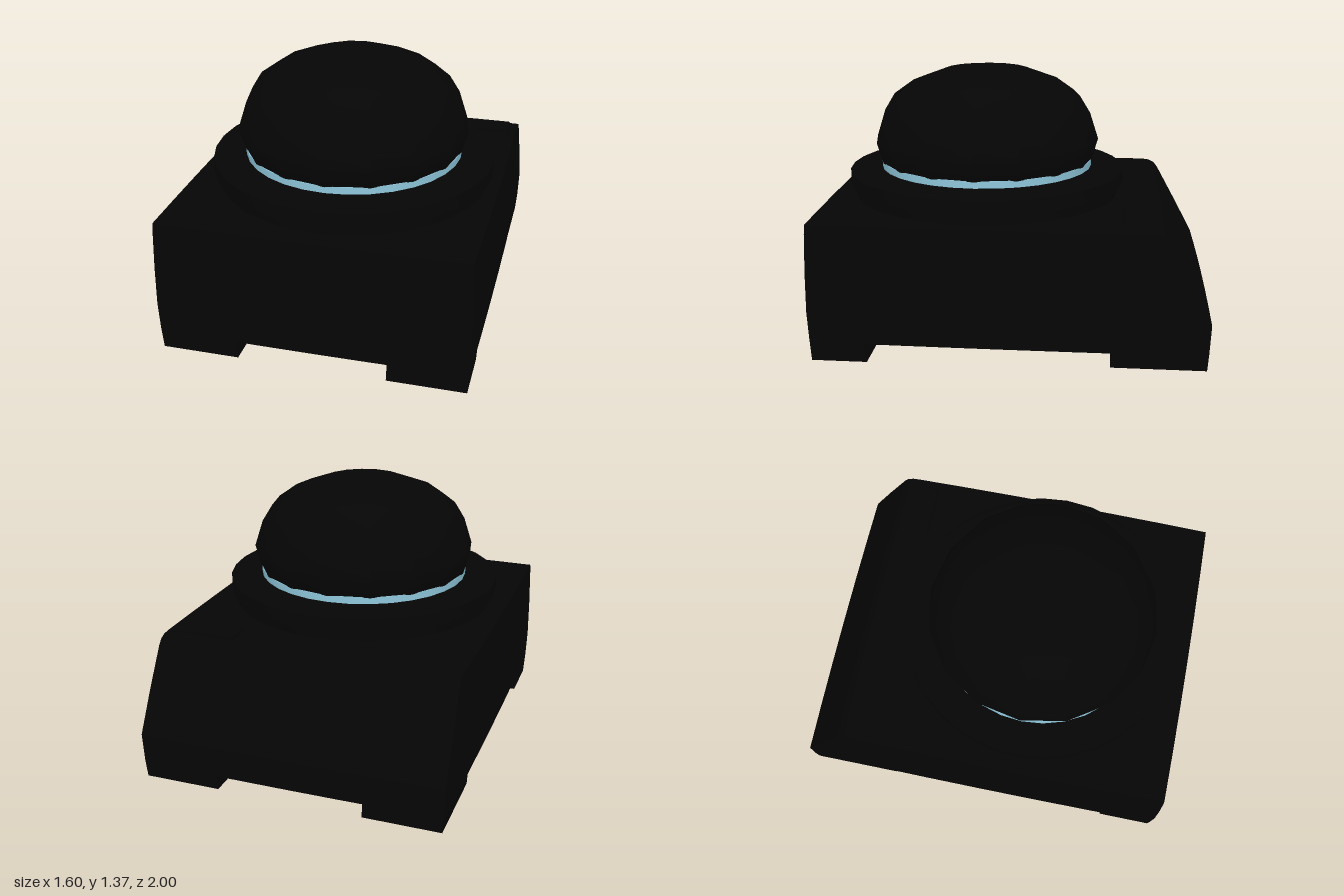
import * as THREE from 'three';
import { toCreasedNormals } from 'three/addons/utils/BufferGeometryUtils.js';

const black = new THREE.MeshStandardMaterial({ color: 0x050505 });
const blue = new THREE.MeshStandardMaterial({ color: 0x8fc8dc });

// Box whose horizontal slices follow rows of [y, x0, x1, z0, z1]; sides swell outwards by bulge
function slicedBlock(rows, bulge = 0, div = 1) {
  const last = rows.length - 1;
  const geo = new THREE.BoxGeometry(2, 2, 2, div, last, div);
  const p = geo.attributes.position;
  for (let i = 0; i < p.count; i++) {
    const u = p.getX(i), v = p.getZ(i);
    const [y, x0, x1, z0, z1] = rows[Math.round((p.getY(i) + 1) / 2 * last)];
    p.setXYZ(i,
      THREE.MathUtils.lerp(x0, x1, (u + 1) / 2) + bulge * u * (1 - v * v),
      y,
      THREE.MathUtils.lerp(z0, z1, (v + 1) / 2) + bulge * v * (1 - u * u));
  }
  return toCreasedNormals(geo, 0.5);
}

function lathe(points, sides, crease) {
  const geo = new THREE.LatheGeometry(points.map(([r, y]) => new THREE.Vector2(r, y)), sides);
  return toCreasedNormals(geo, crease);
}

export function createModel() {
  const model = new THREE.Group();
  const add = (name, geo, mat = black, parent = model) => {
    const mesh = new THREE.Mesh(geo, mat);
    mesh.name = name;
    parent.add(mesh);
    return mesh;
  };

  // Body with a sloping back: [y, half width, back z, front z]
  const section = [
    [0.10, 0.785, -0.985, 0.985],
    [0.26, 0.79, -0.992, 0.992],
    [0.46, 0.788, -0.885, 0.99],
    [0.66, 0.783, -0.775, 0.984],
    [0.69, 0.782, -0.752, 0.982],
    [0.705, 0.781, -0.72, 0.981],
    [0.71, 0.78, -0.68, 0.98],
  ];
  add('body', slicedBlock(section.map(([y, w, b, f]) => [y, -w, w, b, f]), 0.008, 6));

  // Four corner feet, the back pair longer and slightly shorter in height
  for (const side of [-1, 1]) {
    const foot = (name, y, z0, z1, zt0, zt1) => {
      const row = (h, inner, outer, a, b) =>
        [h, Math.min(side * inner, side * outer), Math.max(side * inner, side * outer), a, b];
      add(name, slicedBlock([row(y, 0.38, 0.778, z0, z1), row(0.105, 0.385, 0.785, zt0, zt1)]));
    };
    foot(side > 0 ? 'frontLeftFoot' : 'frontRightFoot', 0, 0.70, 0.98, 0.71, 0.985);
    foot(side > 0 ? 'backLeftFoot' : 'backRightFoot', 0.02, -0.98, -0.51, -0.985, -0.52);
  }

  // Small raised button behind the dome
  add('button', slicedBlock([
    [0.70, 0.41, 0.75, -0.69, -0.56],
    [0.722, 0.41, 0.735, -0.69, -0.56],
    [0.728, 0.415, 0.73, -0.685, -0.565],
  ]));

  // Dome assembly, set forward of the centre
  const turret = new THREE.Group();
  turret.name = 'domeAssembly';
  turret.position.set(0.015, 0, 0.18);
  model.add(turret);

  add('collar', lathe([
    [0, 0.70], [0.705, 0.70], [0.71, 0.765], [0.735, 0.77],
    [0.735, 0.842], [0.69, 0.856], [0, 0.856],
  ], 32, 0.4), black, turret);

  add('lightRing', lathe([[0.565, 0.85], [0.565, 0.893], [0.5, 0.893]], 32, 0.4), blue, turret);

  add('dome', lathe([
    [0, 0.865], [0.54, 0.865], [0.568, 0.89], [0.6, 1.0], [0.555, 1.14], [0.5, 1.23],
    [0.395, 1.305], [0.22, 1.37], [0, 1.372],
  ], 16, 0.7), black, turret);

  return model;
}
